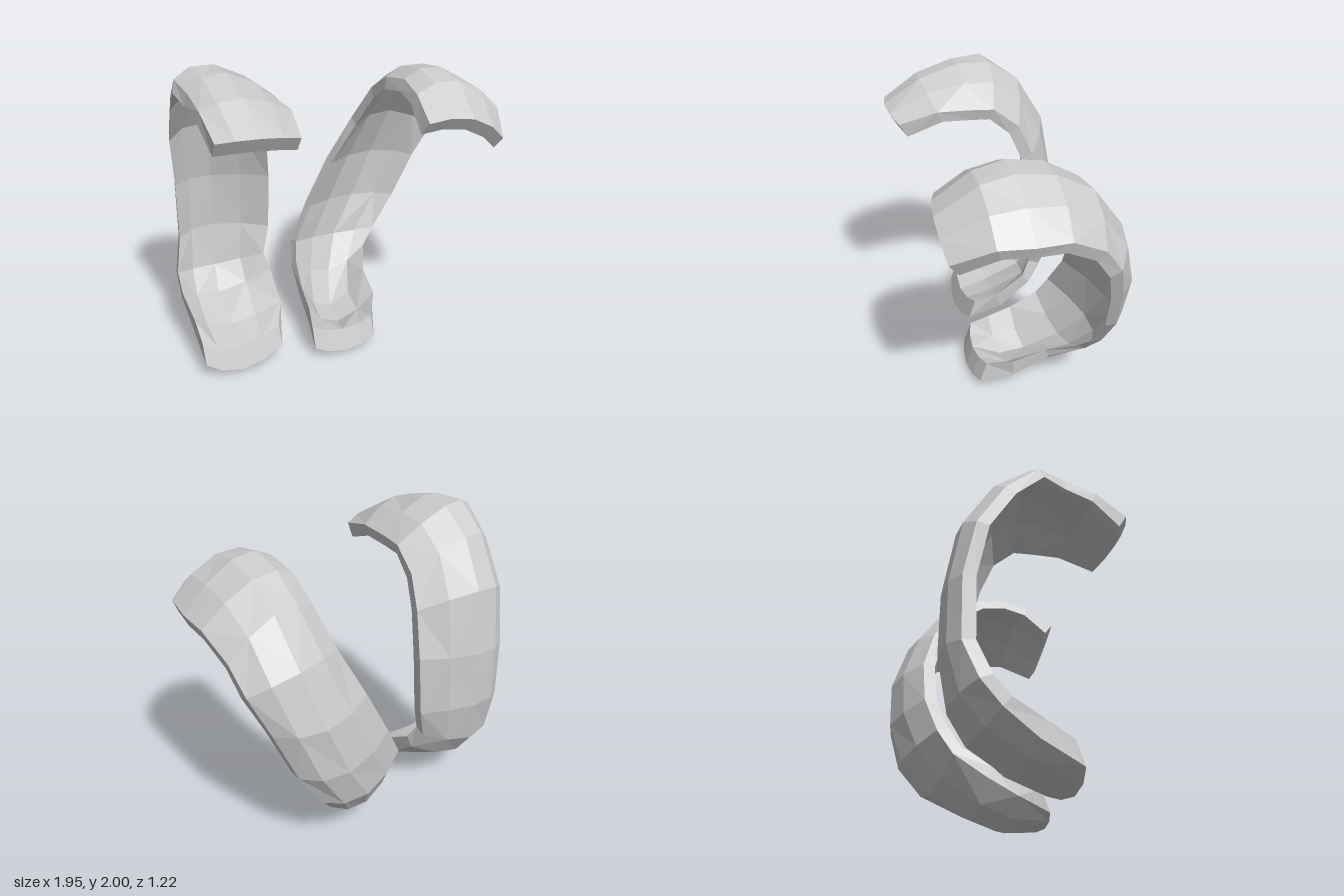
import * as THREE from 'three';

// Each station: outer left edge, crown and right edge of the band
const uprightBand = [
  [[-.92, 1.77, .50], [-.70, 1.79, .58], [-.46, 1.74, .54]],
  [[-.93, 1.88, .30], [-.70, 1.93, .34], [-.41, 1.81, .30]],
  [[-.93, 1.92, .10], [-.70, 2.00, .08], [-.40, 1.80, .10]],
  [[-.95, 1.95, -.08], [-.70, 1.99, -.13], [-.38, 1.79, -.06]],
  [[-.93, 1.78, -.28], [-.69, 1.85, -.33], [-.36, 1.66, -.22]],
  [[-.92, 1.50, -.45], [-.67, 1.56, -.50], [-.34, 1.45, -.31]],
  [[-.90, 1.15, -.52], [-.65, 1.15, -.57], [-.31, 1.15, -.39]],
  [[-.91, .75, -.52], [-.66, .77, -.58], [-.32, .75, -.42]],
  [[-.97, .52, -.44], [-.69, .46, -.53], [-.38, .54, -.39]],
  [[-.98, .38, -.32], [-.71, .27, -.40], [-.36, .40, -.31]],
  [[-.97, .24, -.12], [-.74, .12, -.14], [-.38, .22, -.10]],
  [[-.97, .12, .12], [-.74, .035, .16], [-.45, .11, .13]],
];
const slantedBand = [
  [[.34, 1.68, .54], [.60, 1.69, .61], [.83, 1.53, .60]],
  [[.36, 1.80, .36], [.64, 1.85, .37], [.94, 1.64, .38]],
  [[.38, 1.84, .18], [.64, 1.88, .18], [.97, 1.63, .18]],
  [[.37, 1.80, -.02], [.65, 1.84, -.05], [.97, 1.62, -.02]],
  [[.37, 1.68, -.20], [.66, 1.72, -.27], [.94, 1.50, -.23]],
  [[.31, 1.43, -.36], [.64, 1.45, -.47], [.91, 1.33, -.35]],
  [[.17, 1.12, -.46], [.55, 1.10, -.59], [.81, 1.08, -.43]],
  [[.01, .80, -.48], [.41, .75, -.61], [.68, .75, -.48]],
  [[-.13, .55, -.43], [.23, .46, -.56], [.51, .48, -.48]],
  [[-.17, .40, -.34], [.11, .22, -.40], [.41, .35, -.42]],
  [[-.20, .27, -.14], [.02, .06, -.16], [.31, .26, -.20]],
  [[-.22, .17, .05], [.00, .00, .04], [.28, .15, .04]],
  [[-.25, .08, .23], [-.05, .035, .28], [.18, .06, .25]],
];
const across = [0, .22, .5, .78, 1];

// Smooth arc through the three points of a station
function arcPoint([l, c, r], t) {
  const a = 2 * (t - .5) * (t - 1), b = 4 * t * (1 - t), d = 2 * t * (t - .5);
  return new THREE.Vector3(...l.map((v, k) => a * v + b * c[k] + d * r[k]));
}

// Thick curved band with closed edges and ends
function makeBand(name, stations, material) {
  const outer = stations.map(s => across.map(t => arcPoint(s, t)));
  const rows = outer.length, cols = across.length, e = rows - 1;
  // one inward offset per station keeps the side walls straight
  const inner = outer.map((row, i) => {
    const along = outer[Math.min(i + 1, e)][2].clone().sub(outer[Math.max(i - 1, 0)][2]);
    const side = row[cols - 1].clone().sub(row[0]);
    const offset = i === e
      ? new THREE.Vector3(0, .14, -.05)
      : along.cross(side).setLength(i === e - 1 ? .11 : i === 0 ? .1 : .077);
    return row.map(p => p.clone().add(offset));
  });

  const pos = [];
  const quad = (a, b, c, d) => [a, b, c, a, c, d].forEach(v => pos.push(v.x, v.y, v.z));
  const rings = outer.map((row, i) => [...row, ...inner[i].slice().reverse()]);
  for (let i = 0; i < e; i++) {
    const p = rings[i], q = rings[i + 1], n = p.length;
    for (let j = 0; j < n; j++) {
      const k = (j + 1) % n;
      // alternate the diagonals for an irregular faceted look
      if ((i + j) % 2) quad(p[j], p[k], q[k], q[j]);
      else quad(p[k], q[k], q[j], p[j]);
    }
  }
  // end caps
  for (let j = 0; j < cols - 1; j++) {
    quad(outer[0][j], inner[0][j], inner[0][j + 1], outer[0][j + 1]);
    quad(outer[e][j], outer[e][j + 1], inner[e][j + 1], inner[e][j]);
  }
  const geometry = new THREE.BufferGeometry();
  geometry.setAttribute('position', new THREE.Float32BufferAttribute(pos, 3));
  geometry.computeVertexNormals();
  const mesh = new THREE.Mesh(geometry, material);
  mesh.name = name;
  return mesh;
}

export function createModel() {
  const group = new THREE.Group();
  group.name = 'curvedBands';
  const material = new THREE.MeshStandardMaterial({ color: 0xcccccc, flatShading: true });
  group.add(
    makeBand('uprightBand', uprightBand, material),
    makeBand('slantedBand', slantedBand, material),
  );
  return group;
}
